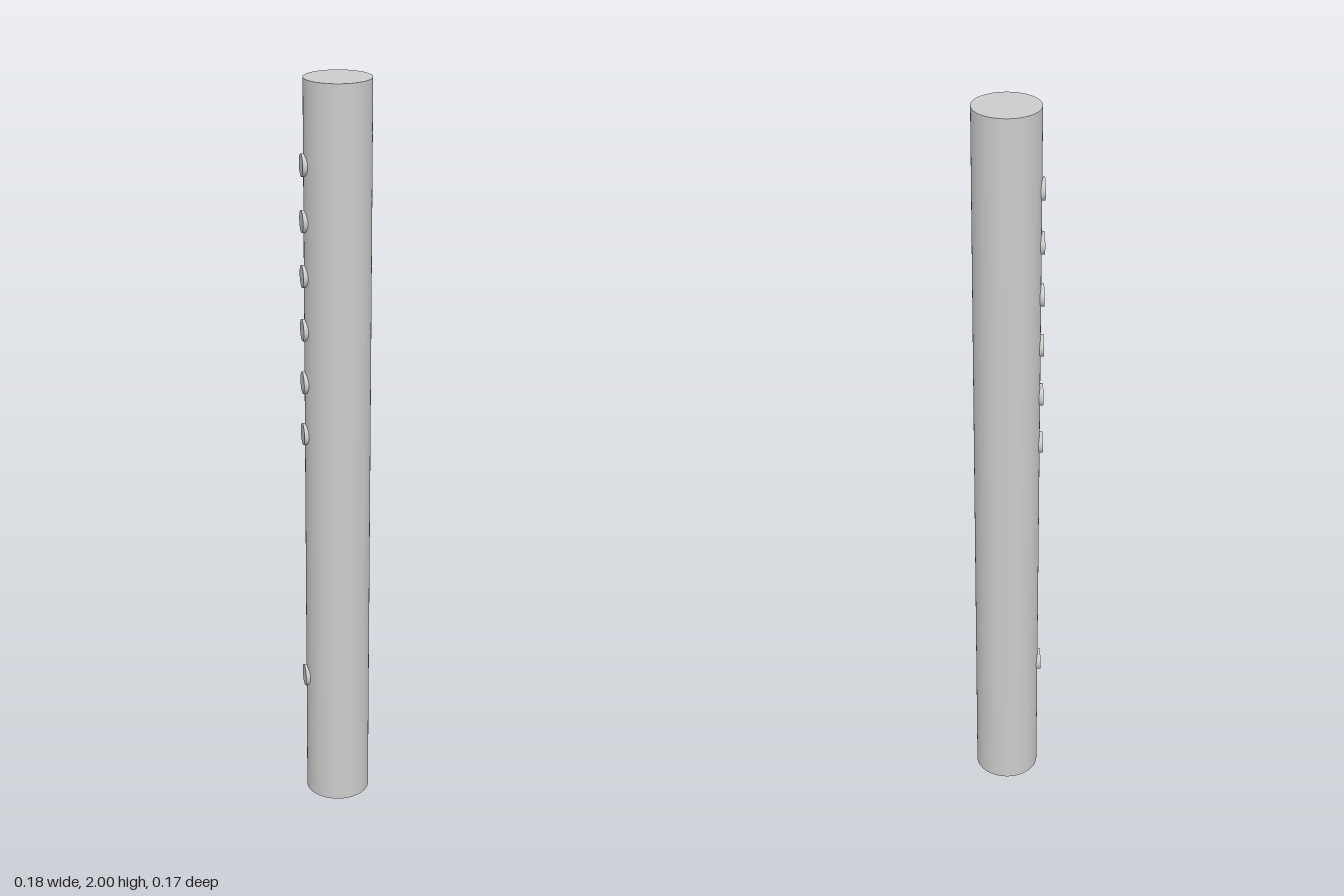
import * as THREE from 'three';

const U = 1 / 7; // spacing between the round holes
const BODY_RADIUS = 0.6 * U;
const BODY_X = 0.025 * U;

export function createModel() {
  const group = new THREE.Group();
  const material = new THREE.MeshStandardMaterial({ color: 0xcccccc });

  // Plain round tube with closed ends
  const body = new THREE.Mesh(new THREE.CylinderGeometry(BODY_RADIUS, BODY_RADIUS, 2, 64), material);
  body.name = 'body';
  body.position.set(BODY_X, 1, 0);
  group.add(body);

  // Small round discs in a row along the right side: mouth hole low, six finger holes above
  const discGeometry = new THREE.CylinderGeometry(0.2 * U, 0.2 * U, 0.1 * U, 32).rotateZ(Math.PI / 2);
  const addDisc = (name, step) => {
    const disc = new THREE.Mesh(discGeometry, material);
    disc.name = name;
    disc.position.set(BODY_X - BODY_RADIUS, step * U, 0);
    group.add(disc);
  };
  addDisc('mouthHole', 2.5);
  for (let i = 0; i < 6; i++) addDisc(`fingerHole${i + 1}`, 7.5 + i);

  return group;
}
